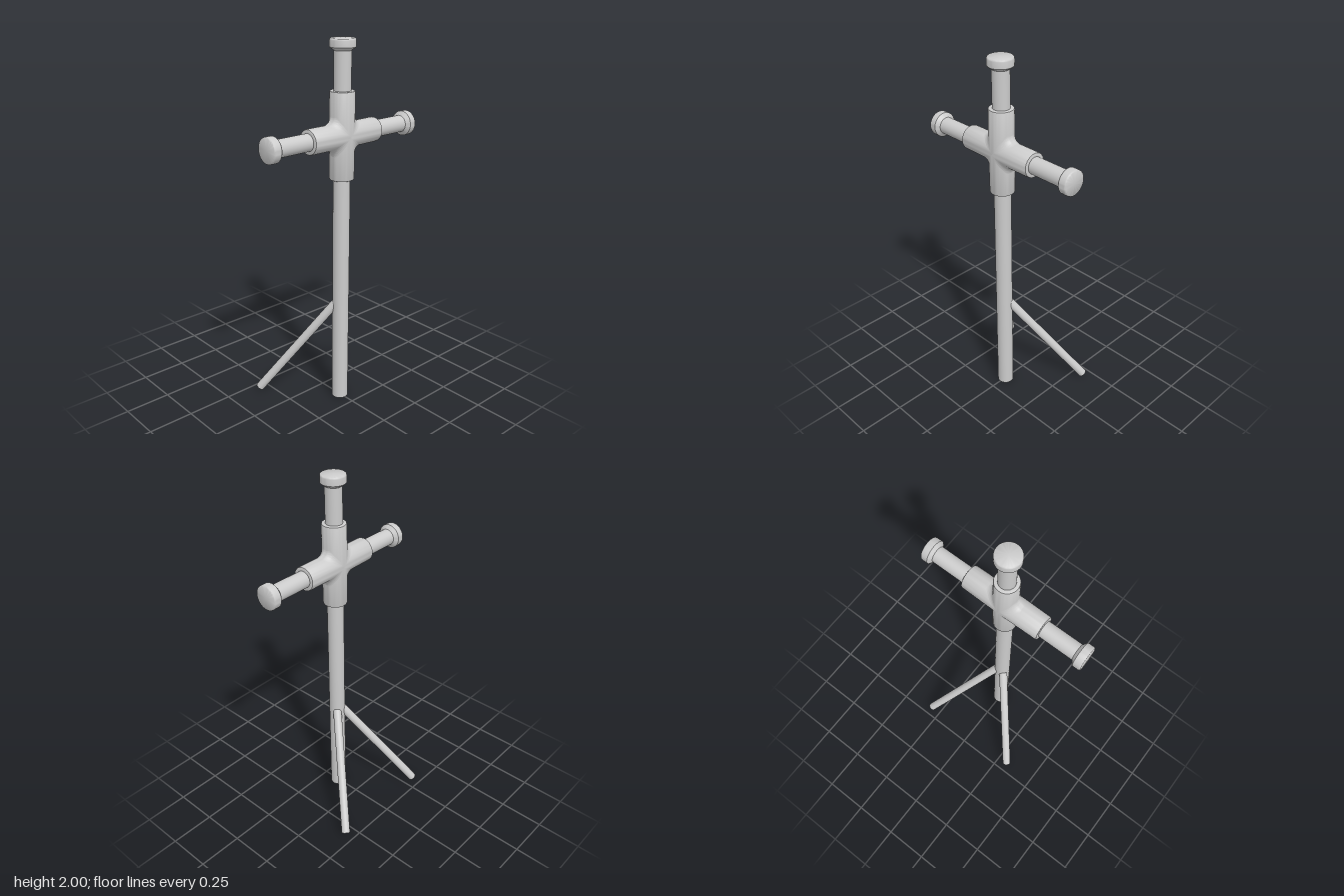
import * as THREE from 'three';
import { toCreasedNormals } from 'three/addons/utils/BufferGeometryUtils.js';

const SEG = 48;
const CENTER_Y = 1.516, POLE_Z = 0.146, REACH = 0.484, BAR_R = 0.045;

const material = new THREE.MeshStandardMaterial({ color: 0xcccccc });

function addMesh(parent, name, geometry) {
  const mesh = new THREE.Mesh(geometry, material);
  mesh.name = name;
  parent.add(mesh);
  return mesh;
}

// One arm of the cross fitting along +y, mitred at 45 degrees with a fillet at its root
function jointArm() {
  const length = 0.229, r = 0.065, fillet = 0.045, arcSteps = 8;
  const rows = [];
  for (let i = 0; i <= arcSteps; i++) rows.push({ angle: (Math.PI / 4) * (1 - i / arcSteps) });
  // straight sleeve, softened lip, annular end face
  rows.push({ y: length - 0.008, s: 1 }, { y: length - 0.002, s: 0.97 }, { y: length, s: 0.91 }, { y: length, s: 0.67 });

  const positions = [], index = [];
  rows.forEach((row, i) => {
    for (let j = 0; j <= SEG; j++) {
      const theta = (j / SEG) * Math.PI * 2;
      const c = Math.abs(Math.cos(theta)), side = Math.sign(Math.cos(theta));
      let x, y, s = 1;
      if (row.angle !== undefined) {
        const f = fillet * c;
        x = r * c + f - f * Math.cos(row.angle);
        y = r * c + f - f * Math.sin(row.angle);
      } else {
        s = row.s;
        x = r * c * s;
        y = row.y;
      }
      const depth = 0.0685 - 0.0035 * (y / length);
      positions.push(x * side, y, depth * s * Math.sin(theta));
      if (i < rows.length - 1 && j < SEG) {
        const a = i * (SEG + 1) + j, b = a + 1, d = a + SEG + 1;
        index.push(a, d, b, b, d, d + 1);
      }
    }
  });
  const geometry = new THREE.BufferGeometry();
  geometry.setAttribute('position', new THREE.Float32BufferAttribute(positions, 3));
  geometry.setIndex(index);
  return toCreasedNormals(geometry, 0.7);
}

// Flared end cap, its outer face at y = REACH
function endCap() {
  const profile = [[0.044, -0.06], [0.048, -0.056], [0.062, -0.047], [0.0665, -0.042],
    [0.0665, -0.009], [0.065, -0.003], [0.061, 0], [0, 0]];
  const points = profile.map(([x, y]) => new THREE.Vector2(x, REACH + y));
  return toCreasedNormals(new THREE.LatheGeometry(points, SEG), 0.7);
}

// Solid round bar between two points
function rod(parent, name, from, to, radius) {
  const dir = to.clone().sub(from);
  const mesh = addMesh(parent, name, new THREE.CylinderGeometry(radius, radius, dir.length(), SEG));
  mesh.position.copy(from).add(to).multiplyScalar(0.5);
  mesh.quaternion.setFromUnitVectors(new THREE.Vector3(0, 1, 0), dir.normalize());
}

export function createModel() {
  const model = new THREE.Group();
  model.name = 'standingCross';

  // Upright pole
  rod(model, 'pole', new THREE.Vector3(0, 0, POLE_Z), new THREE.Vector3(0, 1.99, POLE_Z), BAR_R);

  // Cross head: fitting, crossbar and three end caps
  const head = new THREE.Group();
  head.name = 'crossHead';
  head.position.set(0, CENTER_Y, POLE_Z);
  model.add(head);
  rod(head, 'crossbar', new THREE.Vector3(-0.475, 0, 0), new THREE.Vector3(0.475, 0, 0), BAR_R);

  const arm = jointArm(), cap = endCap();
  ['top', 'left', 'bottom', 'right'].forEach((name, i) => {
    const turn = -i * Math.PI / 2;
    addMesh(head, name + 'Sleeve', arm).rotation.z = turn;
    if (name !== 'bottom') addMesh(head, name + 'Cap', cap).rotation.z = turn;
  });

  // Two splayed back legs
  for (const side of [1, -1]) {
    rod(model, side > 0 ? 'leftLeg' : 'rightLeg',
      new THREE.Vector3(side * 0.02, 0.578, 0.128),
      new THREE.Vector3(side * 0.311, 0.015, -0.198), 0.024);
  }
  return model;
}
